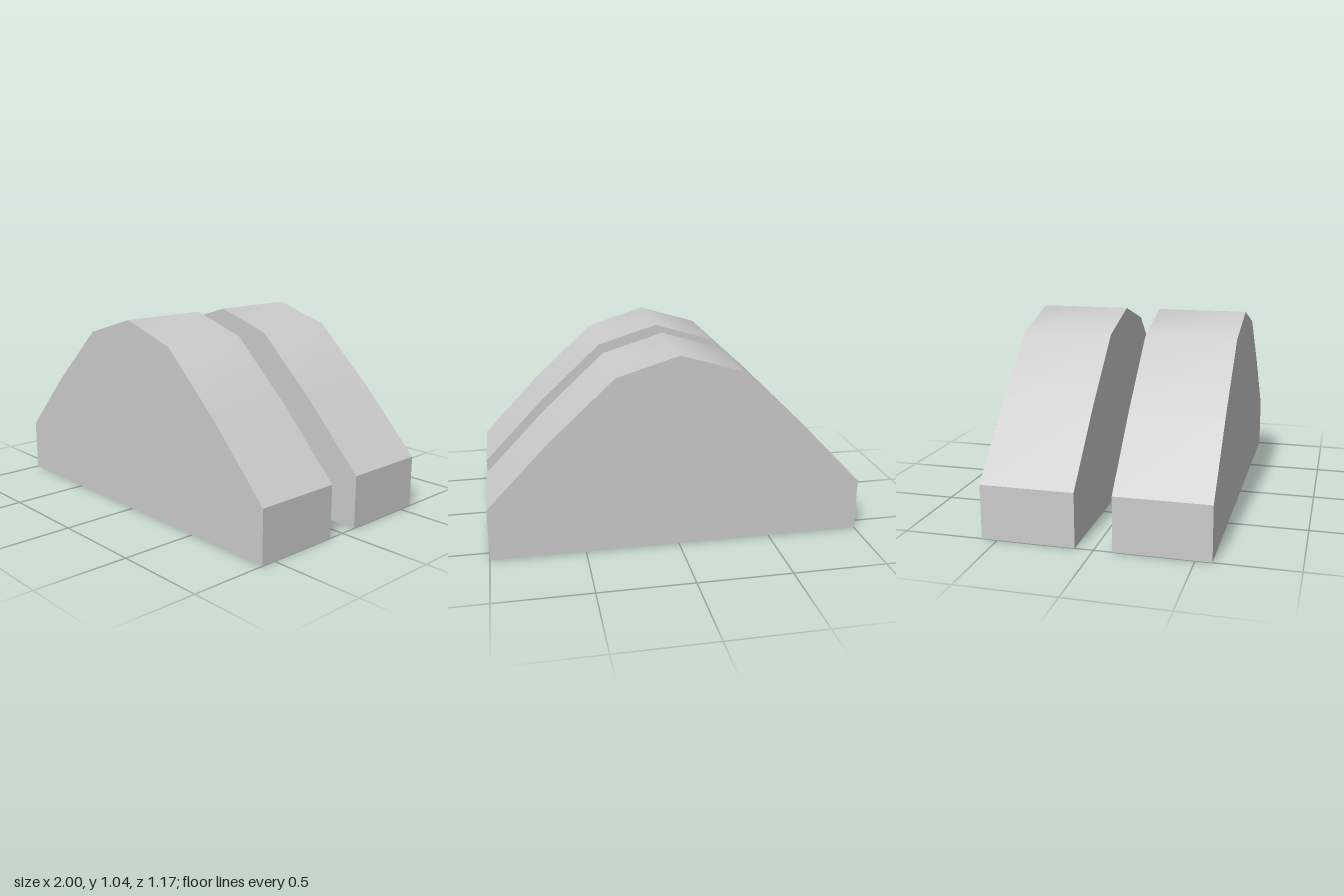
import * as THREE from 'three';
import { toCreasedNormals } from 'three/addons/utils/BufferGeometryUtils.js';

const INNER_Z = 0.095;
const OUTER_Z = 0.583;

// Half of the arched outline, from the foot up to just below the peak
const HALF = [[1, 0], [1, 0.285], [0.67, 0.63], [0.33, 0.945]];

export function createModel() {
  const group = new THREE.Group();
  group.name = 'archedBlocks';
  const material = new THREE.MeshStandardMaterial({ color: 0xcccccc });

  // Mirrored outline with the peak in the middle
  const mirrored = HALF.map(([x, y]) => [-x, y]).reverse();
  const outline = [...HALF, [0, 1.045], ...mirrored].map(([x, y]) => new THREE.Vector2(x, y));

  // Solid block: the curved top is smooth, all other edges are sharp
  const extruded = new THREE.ExtrudeGeometry(new THREE.Shape(outline), {
    depth: OUTER_Z - INNER_Z,
    bevelEnabled: false,
  });
  const geometry = toCreasedNormals(extruded, THREE.MathUtils.degToRad(39));

  // Two equal blocks with a gap between them
  for (const [name, z] of [['frontBlock', INNER_Z], ['backBlock', -OUTER_Z]]) {
    const block = new THREE.Mesh(geometry, material);
    block.name = name;
    block.position.z = z;
    group.add(block);
  }
  return group;
}
